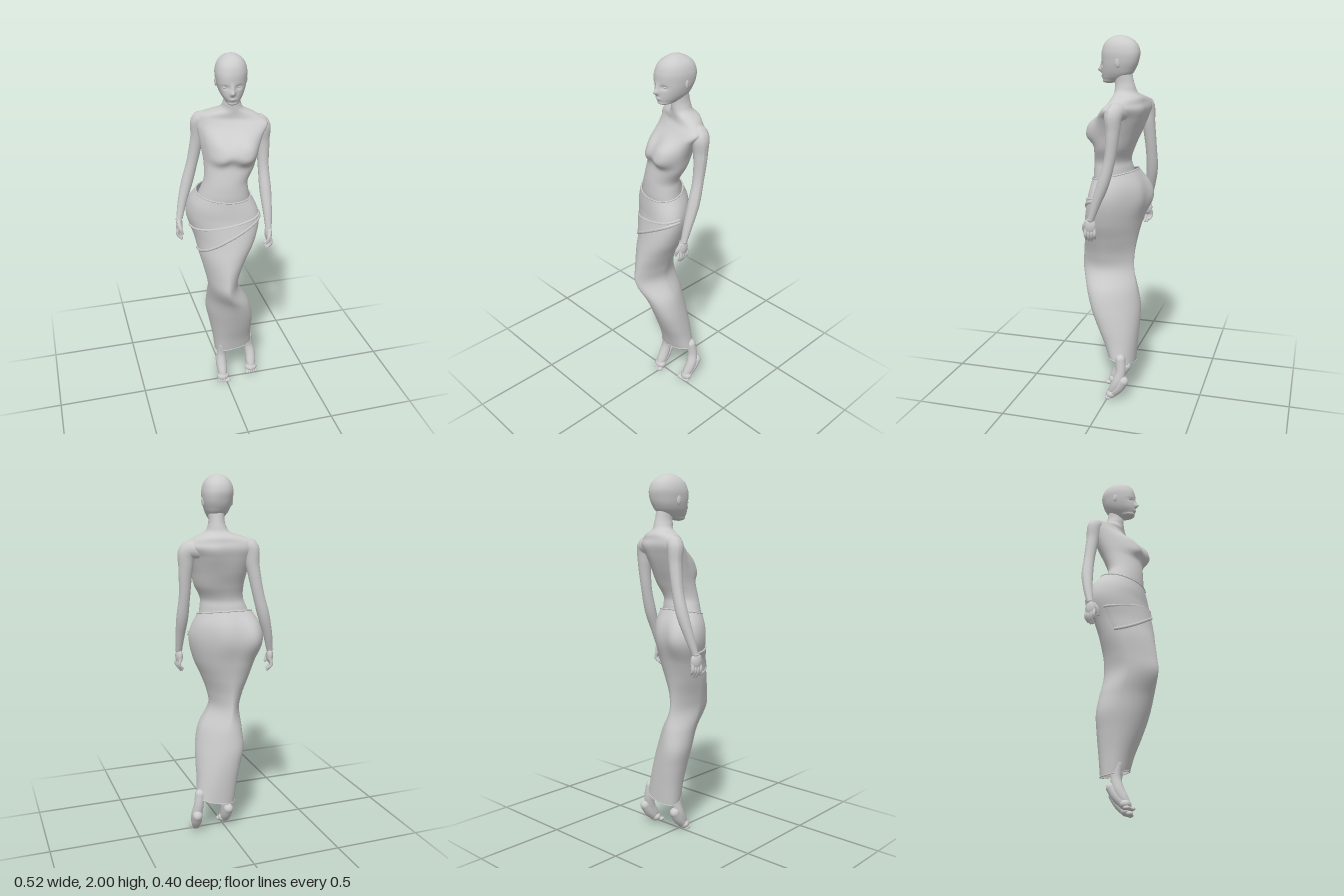
import * as THREE from 'three';

const mat = new THREE.MeshStandardMaterial({ color: 0xcccccc, side: THREE.DoubleSide });

// Cross-sections, bottom to top: y, xMin, xMax, zMin, zMax, twist, tilt along x, tilt along z,
// and optionally pinch (above 1 is nearer a diamond, below 1 nearer a box)
const SKIRT = [
  [0.20, -0.045, 0.17, -0.13, 0.013, 0.1, 0.2, 0.2],
  [0.30, -0.06, 0.16, -0.135, 0.04, 0.2, 0.05, 0.05],
  [0.40, -0.08, 0.155, -0.14, 0.08, 0.32, 0, 0, 0.95],
  [0.50, -0.10, 0.145, -0.14, 0.12, 0.4, 0, 0, 1],
  [0.60, -0.102, 0.12, -0.125, 0.155, 0.32, 0, 0, 1.1],
  [0.72, -0.11, 0.057, -0.10, 0.197, 0.05, 0, 0, 1.3],
  [0.80, -0.125, 0.067, -0.10, 0.192, 0.1, 0, 0, 1.25],
  [0.90, -0.148, 0.102, -0.115, 0.177, 0.22, 0, 0, 1.06],
  [1.00, -0.167, 0.145, -0.135, 0.16, 0.36, 0, 0, 0.97],
  [1.13, -0.202, 0.173, -0.15, 0.135, 0.42, 0, 0, 0.92],
  [1.20, -0.19, 0.16, -0.14, 0.127, 0.35, 0, -0.1, 0.93],
  [1.27, -0.152, 0.127, -0.108, 0.118, 0.25, 0, -0.2, 1],
];
const TORSO = [
  [1.18, -0.155, 0.13, -0.09, 0.10, 0.25, 0, 0, 1],
  [1.25, -0.147, 0.121, -0.097, 0.112, 0.25, 0, 0, 1],
  [1.30, -0.13, 0.115, -0.088, 0.111, 0.22, 0, 0, 1],
  [1.34, -0.116, 0.113, -0.08, 0.108, 0.2, 0, 0, 1],
  [1.42, -0.107, 0.15, -0.105, 0.098, 0.25, 0, 0],
  [1.50, -0.112, 0.172, -0.14, 0.083, 0.35, 0, 0],
  [1.58, -0.122, 0.205, -0.17, 0.06, 0.5, 0, 0],
  [1.63, -0.13, 0.235, -0.183, 0.025, 0.6, 0, 0],
  [1.66, -0.118, 0.212, -0.175, 0, 0.6, -0.03, 0],
  [1.685, -0.07, 0.165, -0.16, -0.01, 0.4, 0, 0],
  [1.705, -0.015, 0.12, -0.135, -0.012, 0.2, 0, 0, 1],
  [1.74, 0.007, 0.10, -0.12, -0.012, 0, 0, 0, 1],
  [1.82, 0.012, 0.096, -0.10, -0.012, 0, 0, 0, 1],
];
const HEAD = [
  [1.752, 0.03, 0.032, 0.03, 0.032, -0.2, 0, 0],
  [1.757, 0.01, 0.055, -0.005, 0.053, -0.2, 0, 0],
  [1.775, -0.004, 0.08, -0.06, 0.062, -0.25, 0, 0],
  [1.80, -0.021, 0.10, -0.10, 0.067, -0.25, 0, 0],
  [1.83, -0.033, 0.113, -0.122, 0.067, -0.2, 0, 0],
  [1.87, -0.042, 0.123, -0.138, 0.068, -0.2, 0, 0],
  [1.92, -0.043, 0.124, -0.143, 0.064, -0.15, 0, 0],
  [1.965, -0.024, 0.106, -0.12, 0.042, -0.1, 0, 0],
  [1.988, 0.004, 0.078, -0.085, 0.01, 0, 0, 0],
  [1.997, 0.024, 0.058, -0.055, -0.015, 0, 0, 0],
  [2.0, 0.04, 0.041, -0.035, -0.034, 0, 0, 0],
];

// Returns point(y, t): a smooth surface through the sections, with t running left, front, right, back
function surface(sections, bump) {
  const values = sections.flatMap(s => [...s.slice(1, 8), s[8] ?? 0.9]);
  const spline = new THREE.CubicInterpolant(sections.map(s => s[0]), values, 8);
  return (y, t) => {
    const [x0, x1, z0, z1, twist, kx, kz, pinch] = spline.evaluate(y);
    const shape = v => Math.sign(v) * Math.abs(v) ** pinch;
    const dx = (x1 - x0) / 2 * shape(Math.cos(t)), dz = (z1 - z0) / 2 * shape(Math.sin(t + twist));
    const p = new THREE.Vector3((x0 + x1) / 2 + dx, y + kx * dx + kz * dz, (z0 + z1) / 2 + dz);
    p.z += bump(p.x, y, Math.sin(t + twist));
    return p;
  };
}

// Grid of faces over f(u, v), with u and v in 0..1
function sheet(f, cols, rows, closed) {
  const pos = [], idx = [], n = closed ? cols : cols + 1;
  for (let r = 0; r <= rows; r++)
    for (let c = 0; c < n; c++) pos.push(...f(c / cols, r / rows).toArray());
  for (let r = 0; r < rows; r++)
    for (let c = 0; c < cols; c++) {
      const a = r * n + c, b = r * n + (c + 1) % n;
      idx.push(a, a + n, b, b, a + n, b + n);
    }
  const g = new THREE.BufferGeometry();
  g.setAttribute('position', new THREE.Float32BufferAttribute(pos, 3));
  g.setIndex(idx);
  g.computeVertexNormals();
  return g;
}

function add(parent, name, geometry) {
  const m = new THREE.Mesh(geometry, mat);
  m.name = name;
  parent.add(m);
  return m;
}

function loft(parent, name, point, y0, y1, rows) {
  return add(parent, name, sheet((u, v) => point(y0 + (y1 - y0) * v, u * Math.PI * 2), 72, rows, true));
}

function ball(parent, name, [x, y, z], [sx, sy, sz]) {
  const m = add(parent, name, new THREE.SphereGeometry(1, 20, 14));
  m.position.set(x, y, z);
  m.scale.set(sx, sy, sz);
  return m;
}

// Round limb through [x, y, z, radius] points, with ball ends
function limb(parent, name, pts, segs = 24, sides = 16) {
  const curve = new THREE.CatmullRomCurve3(pts.map(p => new THREE.Vector3(p[0], p[1], p[2])));
  const radius = new THREE.CubicInterpolant(pts.map((p, i) => i), pts.map(p => p[3]), 1);
  const g = new THREE.TubeGeometry(curve, segs, 1, sides);
  const pos = g.attributes.position, v = new THREE.Vector3();
  for (let i = 0; i < pos.count; i++) {
    const u = Math.floor(i / (sides + 1)) / segs, c = curve.getPointAt(u);
    const r = radius.evaluate(curve.getUtoTmapping(u) * (pts.length - 1))[0];
    v.fromBufferAttribute(pos, i).sub(c).multiplyScalar(r).add(c);
    pos.setXYZ(i, v.x, v.y, v.z);
  }
  g.computeVertexNormals();
  add(parent, name, g);
  for (const p of [pts[0], pts[pts.length - 1]]) ball(parent, name + 'End', p, [p[3], p[3], p[3]]);
}

const hill = (x, y, cx, cy, sx, sy, power = 1) => Math.exp(-((((x - cx) / sx) ** 2 + ((y - cy) / sy) ** 2) ** power));

// Hand hanging from the wrist; side is +1 for left, -1 for right
function hand(parent, name, side, wrist, turn) {
  const g = new THREE.Group();
  g.name = name;
  g.position.set(...wrist);
  g.rotation.y = turn;
  parent.add(g);
  ball(g, 'palm', [0, -0.037, 0], [0.019, 0.043, 0.032]);
  add(g, 'wristSeam', new THREE.TorusGeometry(0.0185, 0.0025, 8, 24)).rotation.x = Math.PI / 2;
  for (let i = 0; i < 4; i++) {
    const z = 0.023 - i * 0.015, end = [-0.11, -0.12, -0.117, -0.105][i];
    limb(g, 'finger', [[0, -0.05, z, 0.01], [side * 0.008, -0.085, z * 1.1, 0.009], [-side * 0.012, end, z, 0.007]], 8, 8);
  }
  limb(g, 'thumb', [[0, -0.015, 0.018, 0.012], [-side * 0.01, -0.045, 0.036, 0.011], [-side * 0.02, -0.075, 0.036, 0.008]], 8, 8);
}

// Foot on tiptoe, with the shin running up into the skirt
function foot(parent, name, side, position, turn, shinX) {
  const g = new THREE.Group();
  g.name = name;
  g.position.set(...position);
  g.rotation.y = turn;
  parent.add(g);
  limb(g, 'ankleAndInstep', [[shinX, 0.235, 0, 0.029], [shinX * 0.5, 0.165, -0.006, 0.028],
    [0, 0.105, 0.008, 0.031], [0, 0.055, 0.035, 0.028], [0, 0.024, 0.058, 0.018]]);
  limb(g, 'heelAndSole', [[0, 0.115, -0.028, 0.028], [0, 0.07, 0.002, 0.029], [0, 0.034, 0.036, 0.027]]);
  ball(g, 'ballOfFoot', [0, 0.028, 0.045], [0.037, 0.026, 0.03]);
  for (let i = 0; i < 5; i++) {
    const x = side * (-0.027 + i * 0.0135), r = i ? 0.009 : 0.012;
    ball(g, 'toe', [x, r, 0.072 - i * 0.004], [r, r, 0.018]);
  }
}

export function createModel() {
  const model = new THREE.Group();
  model.name = 'standingFigure';

  // Torso and neck, with a bridged bust in front and the left shoulder blade behind
  const torso = surface(TORSO, (x, y, front) => {
    if (front < 0) return 0.022 * front * hill(x, y, 0.12, 1.6, 0.07, 0.075);
    const sy = y < 1.505 ? 0.054 : 0.072;
    const w = hill(x, y, -0.058, 1.505, 0.07, sy, 1.4) + hill(x, y, 0.088, 1.505, 0.07, sy, 1.4);
    return 0.066 * Math.tanh(w * 1.1) * front ** 0.55;
  });
  loft(model, 'torsoAndNeck', torso, 1.18, 1.82, 90);

  // Head with nose, lips and eye sockets
  const head = surface(HEAD, (x, y, front) => front <= 0 ? 0 : front * (
    0.022 * hill(x, y, 0.02, 1.822, 0.011, 0.013) + 0.012 * hill(x, y, 0.022, 1.842, 0.008, 0.02)
    + 0.006 * hill(x, y, 0.023, 1.789, 0.016, 0.008)
    - 0.009 * (hill(x, y, -0.014, 1.85, 0.018, 0.012) + hill(x, y, 0.058, 1.85, 0.018, 0.012))));
  loft(model, 'head', head, 1.752, 2, 110);
  ball(model, 'rightEye', [-0.013, 1.851, 0.045], [0.014, 0.006, 0.008]);
  ball(model, 'leftEye', [0.057, 1.851, 0.049], [0.014, 0.006, 0.008]);
  for (const [name, x, tilt] of [['rightEar', -0.037, -0.3], ['leftEar', 0.119, 0.3]])
    ball(model, name, [x, 1.862, -0.043], [0.008, 0.026, 0.014]).rotation.y = tilt;

  // Long skirt, fuller over the seat
  const skirt = surface(SKIRT, (x, y, front) => front >= 0 ? 0 : front
    * (0.04 * hill(x, y, -0.13, 1.14, 0.08, 0.1) + 0.028 * hill(x, y, 0.03, 1.14, 0.075, 0.1)));
  loft(model, 'skirt', skirt, 0.2, 1.27, 110);

  // Rolled edge that follows the skirt at height y(t), halfway or all the way round
  const roll = (name, y, r, closed) => {
    const pts = [];
    for (let i = 0; i < 40; i++) {
      const t = closed ? Math.PI * 2 * i / 40 : Math.PI * i / 39;
      pts.push(skirt(y(t), t));
    }
    add(model, name, new THREE.TubeGeometry(new THREE.CatmullRomCurve3(pts, closed), 120, r, 8, closed));
  };
  roll('waistSeam', () => 1.266, 0.004, true);
  roll('hem', () => 0.202, 0.003, true);

  // Slanting wrap across the hips
  const upper = t => 1.06 + 0.095 * (1 + Math.cos(t)) / 2;
  const lower = t => 0.935 + 0.205 * (1 + Math.cos(t)) / 2;
  add(model, 'hipWrap', sheet((u, v) => {
    const t = Math.PI * u, p = skirt(THREE.MathUtils.lerp(lower(t), upper(t), v), t);
    const lift = 0.007 * Math.sqrt(Math.sin(t));
    return p.add(new THREE.Vector3(Math.cos(t), 0, Math.sin(t)).multiplyScalar(lift));
  }, 48, 10, false));
  roll('wrapUpperFold', upper, 0.007, false);
  roll('wrapLowerFold', lower, 0.009, false);

  // Arms growing out of the shoulders, and hands
  limb(model, 'leftArm', [[0.135, 1.612, -0.075, 0.044], [0.205, 1.613, -0.048, 0.049], [0.219, 1.52, -0.045, 0.038],
    [0.222, 1.38, -0.03, 0.03], [0.226, 1.25, 0.005, 0.032], [0.228, 1.14, 0.045, 0.025], [0.228, 1.055, 0.073, 0.018]], 48);
  limb(model, 'rightArm', [[-0.04, 1.62, -0.12, 0.046], [-0.1, 1.632, -0.143, 0.045], [-0.115, 1.53, -0.155, 0.036],
    [-0.142, 1.39, -0.165, 0.031], [-0.175, 1.27, -0.164, 0.032], [-0.208, 1.16, -0.148, 0.025], [-0.23, 1.07, -0.128, 0.018]], 48);
  hand(model, 'leftHand', 1, [0.226, 1.055, 0.077], 0.1);
  hand(model, 'rightHand', -1, [-0.233, 1.068, -0.124], -0.3);

  // Feet
  foot(model, 'rightFoot', -1, [-0.018, 0, -0.03], 0, 0.008);
  foot(model, 'leftFoot', 1, [0.178, 0.004, -0.068], -0.15, -0.02);
  return model;
}
